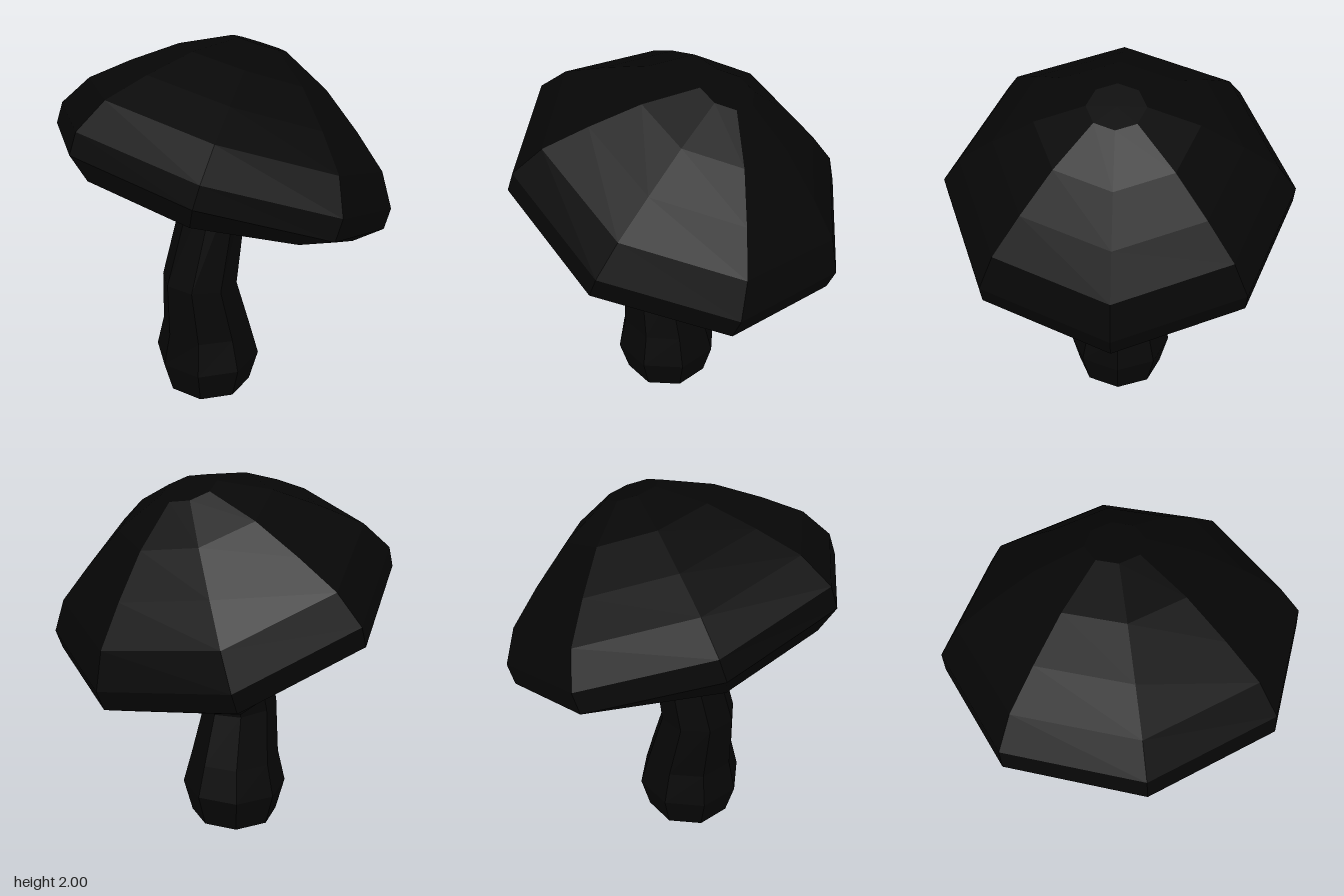
import * as THREE from 'three';

const SIDES = 8;

// Gives every face its own normal for a faceted look
function faceted(geometry) {
  const flat = geometry.toNonIndexed();
  flat.computeVertexNormals();
  return flat;
}

// Stem cross-sections, bottom to top: centre x, centre y, half width, half depth, tilt (rise per unit x)
const STEM_RINGS = [
  [-0.104, 0.0, 0.246, 0.248, 0],
  [-0.104, 0.19, 0.297, 0.297, 0],
  [-0.108, 0.375, 0.252, 0.25, -0.02],
  [-0.152, 0.68, 0.213, 0.2, -0.09],
  [0.004, 1.39, 0.145, 0.17, -0.13],
];

// A cylinder whose rings are moved onto the cross-sections
function stemGeometry() {
  const last = STEM_RINGS.length - 1;
  const geometry = new THREE.CylinderGeometry(1, 1, last, SIDES, last);
  const pos = geometry.attributes.position;
  for (let i = 0; i < pos.count; i++) {
    const ring = STEM_RINGS[Math.round(pos.getY(i) + last / 2)];
    const [cx, cy, halfWidth, halfDepth, tilt] = ring;
    const dx = pos.getX(i) * halfWidth;
    pos.setXYZ(i, cx + dx, cy + dx * tilt, pos.getZ(i) * halfDepth);
  }
  return faceted(geometry);
}

// Cap profile as radius and height, from the hollow underside up to the crown
const CAP_PROFILE = [
  [0, -0.04], [0.787, -0.173], [0.921, -0.058], [0.921, 0.058], [0.813, 0.23],
  [0.622, 0.386], [0.402, 0.544], [0.144, 0.668], [0, 0.668],
];

function capGeometry() {
  const points = CAP_PROFILE.map(([r, y]) => new THREE.Vector2(r, y));
  const geometry = new THREE.LatheGeometry(points, SIDES);
  const pos = geometry.attributes.position;
  // The front and back corners of the lower lip are drawn in
  for (let i = 0; i < pos.count; i++) {
    if (pos.getY(i) < -0.17 && Math.abs(pos.getZ(i)) > 0.75) {
      pos.setY(i, -0.16);
      pos.setZ(i, pos.getZ(i) * 0.905);
    }
  }
  return faceted(geometry);
}

export function createModel() {
  const black = new THREE.MeshStandardMaterial({ color: 0x060606 });
  black.name = 'black';

  const model = new THREE.Group();
  model.name = 'mushroom';

  const stem = new THREE.Mesh(stemGeometry(), black);
  stem.name = 'stem';
  model.add(stem);

  // The cap leans down towards +x
  const cap = new THREE.Mesh(capGeometry(), black);
  cap.name = 'cap';
  cap.position.y = 1.325;
  cap.rotation.z = THREE.MathUtils.degToRad(-21);
  model.add(cap);

  return model;
}
